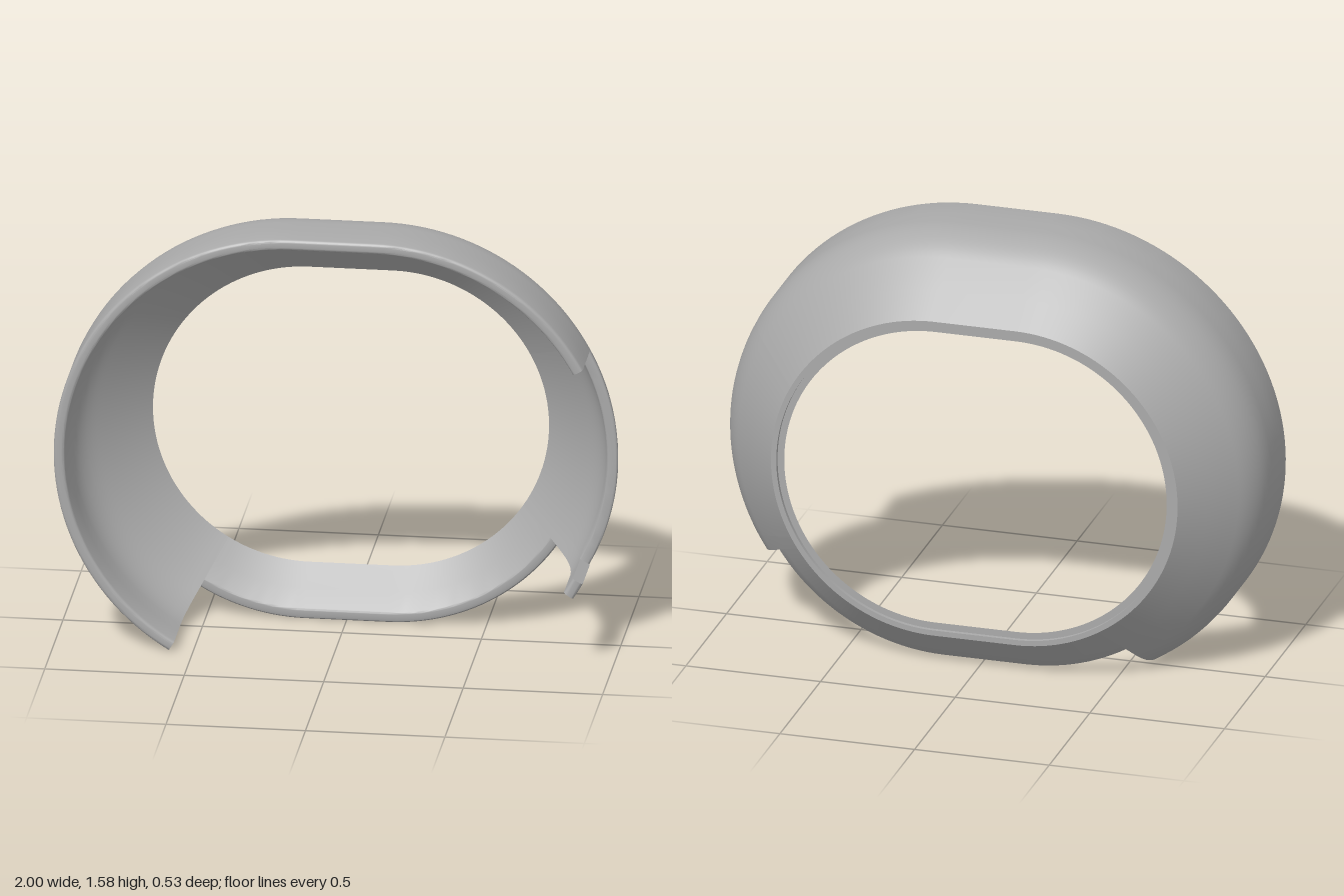
import * as THREE from 'three';
import { toCreasedNormals } from 'three/addons/utils/BufferGeometryUtils.js';

const CENTRE_Y = 0.73, HALF_STRAIGHT = 0.15;
const OUTER = 0.85, WALL = 0.04, SHOULDER_R = 0.24, SHOULDER_Z = 0.08, BACK = -0.265;
const Z_STEPS = [-0.18, -0.09, -0.075, -0.06, -0.04, -0.02, 0, 0.02, 0.05, 0.08, 0.15];

// Wall radius at depth z, inset by t: straight, rounded shoulder, 45 degree cone
function wallRadius(z, t) {
  const R = SHOULDER_R - t, d = SHOULDER_Z - z;
  if (d <= 0) return OUTER - t;
  if (d > R * Math.SQRT1_2) return 0.87 - t * Math.SQRT2 + z;
  return OUTER - SHOULDER_R + Math.sqrt(R * R - d * d);
}

// Arc points replacing the corner b between a and c
function fillet(a, b, c, radius) {
  const p = a.clone().sub(b).normalize(), q = c.clone().sub(b).normalize();
  const half = Math.acos(p.dot(q)) / 2;
  const centre = b.clone().addScaledVector(p.clone().add(q).normalize(), radius / Math.sin(half));
  const start = b.clone().addScaledVector(p, radius / Math.tan(half)).sub(centre);
  const sweep = Math.PI - 2 * half;
  return [0, 1, 2, 3, 4].map((i) =>
    start.clone().rotateAround(new THREE.Vector2(), (sweep * i) / 4).add(centre));
}

// Closed wall cross-section (radius, z), ending in a rounded rim at zMax
function wallProfile(zMax, rimRadius) {
  const V = (r, z) => new THREE.Vector2(r, z);
  const zs = Z_STEPS.filter((z) => z < zMax - 0.038);
  const outer = [V(0.605, BACK), ...zs.map((z) => V(wallRadius(z, 0), z))];
  const inner = [...zs].reverse().map((z) => V(wallRadius(z, WALL), z));
  const rimOut = V(wallRadius(zMax, 0), zMax), rimIn = V(wallRadius(zMax, WALL), zMax);
  return [
    ...outer,
    ...fillet(outer[outer.length - 1], rimOut, rimIn, rimRadius),
    ...fillet(rimOut, rimIn, inner[0], rimRadius),
    ...inner,
    V(0.56, -0.25), V(0.585, -0.25), V(0.585, BACK), // stepped back opening
  ];
}

// Stations along the oval; both ends of each straight run share one angle
function ovalStations(from, to) {
  const stops = [from, ...[90, 270].filter((a) => a > from && a < to), to];
  const list = [];
  for (let s = 0; s < stops.length - 1; s++) {
    const a0 = stops[s], a1 = stops[s + 1], n = Math.ceil((a1 - a0) / 2.5);
    const mid = (a0 + a1) / 2;
    const cx = mid > 90 && mid < 270 ? -HALF_STRAIGHT : HALF_STRAIGHT;
    for (let i = 0; i <= n; i++) {
      list.push({ a: THREE.MathUtils.degToRad(a0 + ((a1 - a0) * i) / n), cx });
    }
  }
  return list;
}

// Sweep the wall section around part of the oval
function sweepWall(from, to, zMax, rimRadius, capped) {
  const profile = wallProfile(zMax, rimRadius), m = profile.length;
  const stations = ovalStations(from, to), positions = [], index = [];
  for (const { a, cx } of stations) {
    for (const p of profile) {
      positions.push(cx + p.x * Math.cos(a), CENTRE_Y + p.x * Math.sin(a), p.y);
    }
  }
  for (let i = 0; i < stations.length - 1; i++) {
    for (let j = 0; j < m; j++) {
      const k = (j + 1) % m, A = i * m, B = A + m;
      index.push(A + j, B + j, B + k, A + j, B + k, A + k);
    }
  }
  if (capped) {
    const end = (stations.length - 1) * m;
    for (const [a, b, c] of THREE.ShapeUtils.triangulateShape(profile, [])) {
      index.push(a, b, c, end + a, end + c, end + b);
    }
  }
  const geometry = new THREE.BufferGeometry();
  geometry.setAttribute('position', new THREE.Float32BufferAttribute(positions, 3));
  geometry.setIndex(index);
  return toCreasedNormals(geometry, Math.PI / 6);
}

export function createModel() {
  const group = new THREE.Group();
  group.name = 'ovalBezel';
  const grey = new THREE.MeshStandardMaterial({ color: 0xaaaaaa });
  grey.name = 'grey';

  // name, start and end angle, front depth, rim rounding, end caps
  const parts = [
    ['sideProng', -33, -28.5, 0.265, 0.012, true],
    ['sideWindowWall', -28.5, 28.5, 0.06, 0.008, false],
    ['mainShell', 28.5, 239, 0.265, 0.012, true],
    ['lowerLip', 239, 327, -0.12, 0.014, false],
  ];
  for (const [name, from, to, zMax, rim, capped] of parts) {
    const mesh = new THREE.Mesh(sweepWall(from, to, zMax, rim, capped), grey);
    mesh.name = name;
    group.add(mesh);
  }
  return group;
}
